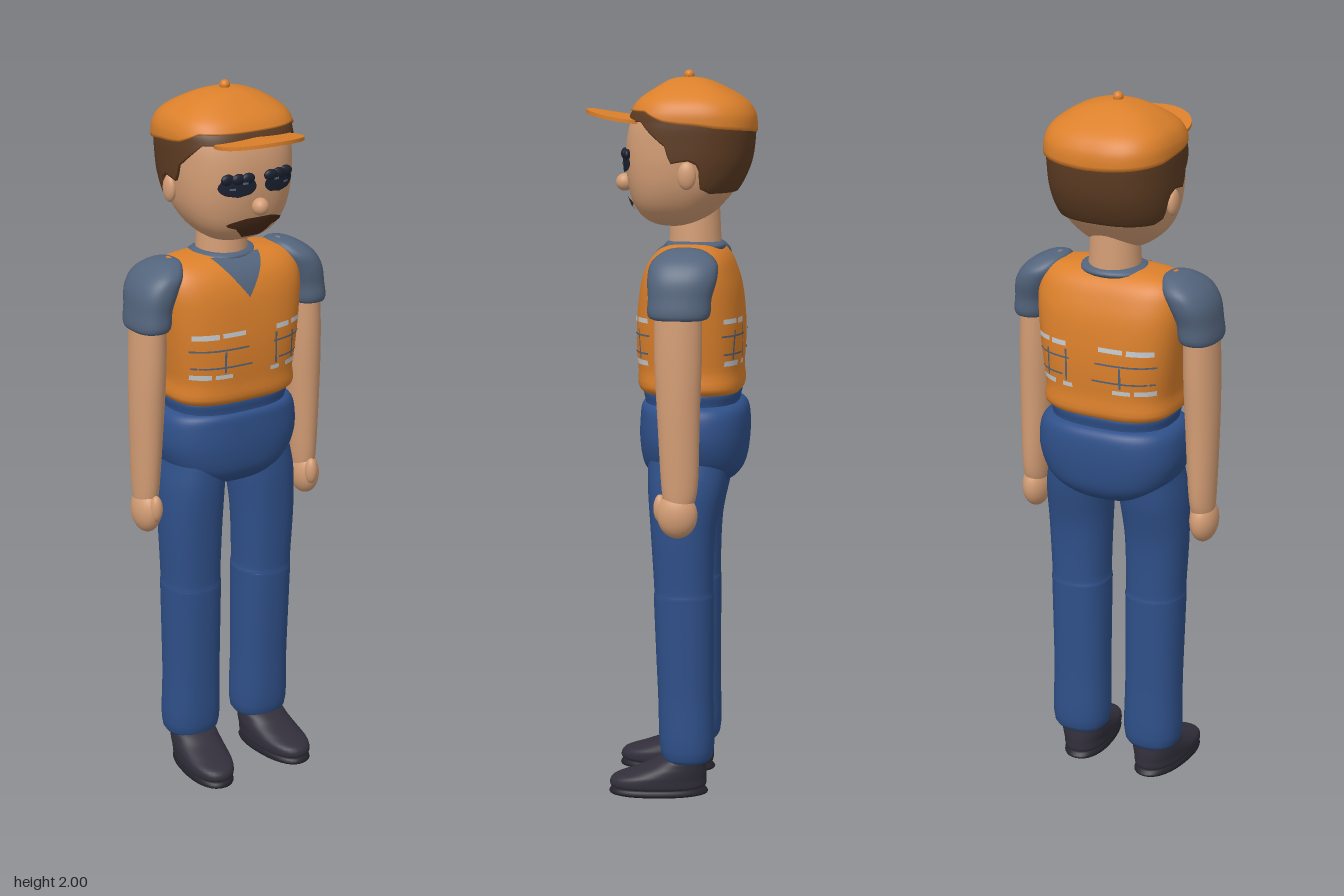
import * as THREE from 'three';

const mat = (name, color) => Object.assign(new THREE.MeshStandardMaterial({ color }), { name });

// Smooth stack of rounded cross-sections [y, centreX, halfWidth, zFront, zBack]
function surface(sections, n = 2) {
  const last = sections.length - 1;
  const curve = new THREE.CubicInterpolant(
    Float32Array.from(sections.keys()), Float32Array.from(sections.flat()), 5);
  const at = t => {
    const [y, cx, a, f, b] = curve.evaluate(t);
    return { y, cx, a: Math.max(a, 0.0005), zc: (f + b) / 2, b: Math.max((f - b) / 2, 0.0005) };
  };
  const tAt = y => {
    let lo = 0, hi = last;
    for (let i = 0; i < 24; i++) {
      const m = (lo + hi) / 2;
      if (at(m).y < y) lo = m; else hi = m;
    }
    return lo;
  };
  const bend = v => Math.sign(v) * Math.abs(v) ** (2 / n);
  const point = (th, t, off = 0) => {
    const s = at(t);
    return [s.cx + (s.a + off) * bend(Math.sin(th)), s.y, s.zc + (s.b + off) * bend(Math.cos(th))];
  };
  // depth of the surface at a given x and y, on the front (dir 1) or back (dir -1)
  const depth = (x, y, dir) => {
    const s = at(tAt(y));
    return s.zc + dir * s.b * Math.max(0, 1 - Math.abs((x - s.cx) / s.a) ** n) ** (1 / n);
  };
  return { last, tAt, point, depth };
}

function gridGeometry(cols, rows, wrap, fn, flip = false) {
  const pos = [], idx = [], stride = wrap ? cols : cols + 1;
  for (let j = 0; j <= rows; j++)
    for (let i = 0; i < stride; i++) pos.push(...fn(i / cols, j / rows, j));
  for (let j = 0; j < rows; j++)
    for (let i = 0; i < cols; i++) {
      const k = (i + 1) % stride;
      const a = j * stride + i, b = j * stride + k, c = b + stride, d = a + stride;
      if (flip) idx.push(a, c, b, a, d, c); else idx.push(a, b, c, a, c, d);
    }
  const g = new THREE.BufferGeometry();
  g.setAttribute('position', new THREE.Float32BufferAttribute(pos, 3));
  g.setIndex(idx);
  g.computeVertexNormals();
  return g;
}

// Closed skin; with a bottom edge rule it becomes a shell with a turned-in lip
function loft(s, bottom, off = 0, cols = 40) {
  return gridGeometry(bottom ? 120 : cols, s.last * 5, true, (u, v, j) => {
    const th = (u - 0.5) * Math.PI * 2;
    const t0 = bottom ? s.tAt(bottom(Math.abs(th))) : 0;
    const k = bottom ? Math.max(0, (j - 1) / (s.last * 5 - 1)) : v;
    return s.point(th, t0 + (s.last - t0) * k, bottom && j === 0 ? off - 0.01 : off);
  });
}

// Thin painted patch following a surface
function patch(s, y0, y1, left, right, dir = 1, off = 0.004, rows = 10, cols = 12) {
  return gridGeometry(cols, rows, false, (u, v) => {
    const y = y0 + (y1 - y0) * v, x = left(v) + (right(v) - left(v)) * u;
    return [x, y, s.depth(x, y, dir) + dir * off];
  }, dir < 0);
}

// Piecewise straight line through [x, y] points
const steps = pts => x => {
  const i = Math.max(1, pts.findIndex(p => p[0] >= x));
  const [p, q] = [pts[i - 1], pts[i]];
  return THREE.MathUtils.mapLinear(Math.min(x, q[0]), p[0], q[0], p[1], q[1]);
};

export function createModel() {
  const model = new THREE.Group();
  model.name = 'worker';
  const orange = mat('orange', 0xdb802b), skin = mat('skin', 0xd39d75), denim = mat('denim', 0x2f5089);
  const shirt = mat('shirt', 0x53647c), hair = mat('hair', 0x5c3b22), shoe = mat('shoe', 0x322f3b);
  const sole = mat('sole', 0x24222b), dark = mat('eyeDark', 0x1b2130), silver = mat('silver', 0xc6cbcf);
  const beard = mat('beard', 0x4a2b18);
  const add = (name, geo, material, parent = model) => {
    const m = new THREE.Mesh(geo, material);
    m.name = name;
    parent.add(m);
    return m;
  };
  const ball = (name, material, p, r, parent) => {
    const m = add(name, new THREE.SphereGeometry(1, 24, 16), material, parent);
    m.position.set(...p);
    m.scale.set(...r);
    return m;
  };

  // Torso in a vest, with shirt showing at the neck
  const torso = surface([
    [1.132, 0, 0.02, -0.05, -0.08], [1.132, 0, 0.176, 0.07, -0.195], [1.2, 0, 0.186, 0.084, -0.202],
    [1.3, 0, 0.2, 0.088, -0.206], [1.4, 0, 0.212, 0.08, -0.197], [1.46, 0, 0.214, 0.066, -0.18],
    [1.5, 0, 0.202, 0.043, -0.16], [1.525, 0, 0.165, 0.01, -0.13], [1.535, 0, 0.08, -0.03, -0.1],
    [1.537, 0, 0.01, -0.06, -0.07]], 3);
  add('vest', loft(torso, null, 0, 64), orange);
  add('shirtNeck', patch(torso, 1.43, 1.53, v => -0.075 * v, v => 0.075 * v, 1, 0.004, 20), shirt);
  ball('collar', shirt, [0, 1.525, -0.068], [0.1, 0.022, 0.085]);

  // Worn reflective dashes and seams, front and back: [x0, x1, y0, y1]
  const dashes = [[-0.17, -0.1, 1.328, 1.343], [-0.09, -0.02, 1.33, 1.343], [0.08, 0.125, 1.328, 1.342],
    [0.135, 0.18, 1.33, 1.343], [-0.17, -0.12, 1.213, 1.227], [-0.11, -0.06, 1.213, 1.225],
    [0.06, 0.09, 1.213, 1.225], [0.115, 0.165, 1.213, 1.227]];
  const seams = [[-0.175, -0.01, 1.293, 1.298], [0.07, 0.18, 1.293, 1.298], [-0.17, 0, 1.243, 1.248],
    [0.09, 0.17, 1.243, 1.248], [-0.085, -0.079, 1.23, 1.29], [0.076, 0.082, 1.23, 1.32],
    [0.138, 0.144, 1.23, 1.31]];
  for (const dir of [1, -1])
    for (const [list, name, material] of [[dashes, 'reflectiveDash', silver], [seams, 'vestSeam', shirt]])
      for (const [x0, x1, y0, y1] of list)
        add(name, patch(torso, y0, y1, () => x0, () => x1, dir, 0.003, 1, 5), material);

  // Trousers: waistband and hips
  add('waistband', loft(surface([[1.06, 0, 0.172, 0.064, -0.19], [1.1, 0, 0.174, 0.066, -0.192],
    [1.14, 0, 0.174, 0.066, -0.192], [1.16, 0, 0.1, 0, -0.12]], 2.6)), denim);
  add('hips', loft(surface([[0.868, 0, 0.01, -0.06, -0.08], [0.878, 0, 0.09, 0.02, -0.16],
    [0.92, 0, 0.17, 0.066, -0.205], [0.99, 0, 0.206, 0.08, -0.219], [1.06, 0, 0.207, 0.079, -0.219],
    [1.095, 0, 0.19, 0.072, -0.206], [1.106, 0, 0.15, 0.04, -0.17]], 2.6), null, 0, 56), denim);

  for (const s of [1, -1]) {
    const side = s > 0 ? 'left' : 'right';
    const place = rows => rows.map(([y, x, ...r]) => [y, x * s, ...r]);
    const part = (name, material, rows, n) => add(side + name, loft(surface(place(rows), n)), material);

    // Arm, sleeve and hand
    part('Sleeve', shirt, [[1.355, 0.25, 0.01, -0.04, -0.06], [1.355, 0.25, 0.05, 0.03, -0.125],
      [1.41, 0.244, 0.054, 0.035, -0.135], [1.46, 0.23, 0.06, 0.038, -0.148],
      [1.5, 0.208, 0.056, 0.03, -0.145], [1.528, 0.185, 0.035, -0.005, -0.11],
      [1.536, 0.175, 0.006, -0.045, -0.065]], 2.3);
    part('Arm', skin, [[0.83, 0.261, 0.028, -0.015, -0.08], [0.9, 0.259, 0.036, -0.002, -0.1],
      [1.1, 0.255, 0.045, 0.01, -0.105], [1.25, 0.251, 0.048, 0.018, -0.11], [1.4, 0.248, 0.046, 0.018, -0.11]]);
    ball(side + 'Hand', skin, [0.262 * s, 0.824, -0.045], [0.038, 0.064, 0.055]);
    ball(side + 'Thumb', skin, [0.256 * s, 0.84, 0.002], [0.018, 0.038, 0.018]);

    // Trouser leg with a slight knee fold
    part('Leg', denim, [[0.112, 0.115, 0.02, -0.04, -0.08], [0.112, 0.115, 0.078, 0.012, -0.13],
      [0.3, 0.115, 0.08, 0.023, -0.131], [0.54, 0.117, 0.083, 0.033, -0.132], [0.57, 0.117, 0.084, 0.033, -0.132],
      [0.6, 0.118, 0.082, 0.033, -0.13], [0.75, 0.119, 0.087, 0.042, -0.136],
      [0.87, 0.114, 0.09, 0.05, -0.16], [0.95, 0.105, 0.085, 0.05, -0.17]], 2.3);

    // Shoe, toe turned slightly outward
    const foot = new THREE.Group();
    foot.name = side + 'Foot';
    foot.position.set(0.115 * s, 0, -0.05);
    foot.rotation.y = 0.1 * s;
    model.add(foot);
    add('sole', loft(surface([[0, 0, 0.01, 0.1, 0.08], [0, 0, 0.06, 0.2, -0.055], [0.016, 0, 0.062, 0.204, -0.058],
      [0.022, 0, 0.05, 0.18, -0.04]], 2.3)), sole, foot);
    add('shoe', loft(surface([[0.018, 0, 0.05, 0.18, -0.04], [0.024, 0, 0.065, 0.206, -0.06],
      [0.048, 0, 0.068, 0.2, -0.062], [0.066, 0, 0.068, 0.15, -0.062], [0.085, 0, 0.066, 0.1, -0.06],
      [0.108, 0, 0.06, 0.06, -0.056], [0.118, 0, 0.03, 0.03, -0.03]], 2.3)), shoe, foot);

    // Ear
    ball(side + 'Ear', skin, [0.167 * s, 1.725, -0.06], [0.015, 0.037, 0.025]);
  }

  // Neck and head
  const neck = add('neck', new THREE.CylinderGeometry(0.066, 0.074, 0.16, 32), skin);
  neck.position.set(0, 1.57, -0.068);
  const head = surface([
    [1.578, 0, 0.005, -0.03, -0.04], [1.583, 0, 0.06, 0.035, -0.075], [1.605, 0, 0.1, 0.075, -0.11],
    [1.64, 0, 0.132, 0.099, -0.145], [1.69, 0, 0.155, 0.113, -0.185], [1.75, 0, 0.166, 0.12, -0.212],
    [1.81, 0, 0.169, 0.118, -0.222], [1.86, 0, 0.169, 0.107, -0.222], [1.9, 0, 0.16, 0.086, -0.208],
    [1.94, 0, 0.11, 0.03, -0.15], [1.955, 0, 0.01, -0.045, -0.06]], 2.5);
  add('head', loft(head, null, 0, 64), skin);
  ball('nose', skin, [0, 1.695, 0.127], [0.023, 0.024, 0.024]);

  // Hair with sideburns, longer at the back
  const hairLine = steps([[0, 1.868], [0.85, 1.865], [1.15, 1.83], [1.38, 1.8], [1.44, 1.755], [1.62, 1.765],
    [1.76, 1.75], [1.86, 1.69], [2.1, 1.676], [3.2, 1.676]]);
  add('hair', loft(head, hairLine, 0.008), hair);

  // Eyes: dark scalloped patches with small glints
  for (const s of [1, -1]) {
    const w = v => 0.056 * Math.sqrt(Math.max(0, 1 - (2 * v - 1) ** 2)) * (1 - 0.2 * v);
    add('eye', patch(head, 1.727, 1.788, v => 0.064 * s - w(v), v => 0.064 * s + w(v), 1, 0.008), dark);
    for (const x of [0.035, 0.062, 0.09])
      ball('lash', dark, [x * s, 1.776, head.depth(x, 1.776, 1) + 0.003], [0.02, 0.015, 0.01]);
    for (const [x, y] of [[0.048, 1.766], [0.082, 1.752]])
      add('glint', patch(head, y - 0.003, y + 0.003, () => x * s - 0.008, () => x * s + 0.008, 1, 0.0135, 1, 2), shirt);
  }

  // Moustache and goatee
  const moustache = v => 0.085 * Math.sin(Math.PI * (0.22 + 0.62 * v)) ** 1.2;
  add('moustache', patch(head, 1.632, 1.664, v => -moustache(v), v => moustache(v), 1, 0.009), beard);
  add('goatee', patch(head, 1.603, 1.634, v => -0.028 - 0.03 * v, v => 0.028 + 0.03 * v, 1, 0.006), beard);

  // Cap: crown, button and upturned peak
  const crown = surface([[1.8, 0, 0.179, 0.128, -0.233], [1.86, 0, 0.18, 0.117, -0.235], [1.895, 0, 0.175, 0.103, -0.225],
    [1.925, 0, 0.155, 0.08, -0.198], [1.958, 0, 0.105, 0.03, -0.14], [1.976, 0, 0.05, -0.005, -0.095],
    [1.982, 0, 0.002, -0.049, -0.051]], 2.7);
  add('capCrown', loft(crown, steps([[0, 1.893], [0.9, 1.893], [1.3, 1.868], [1.9, 1.85], [3.2, 1.835]])), orange);
  ball('capButton', orange, [0, 1.986, -0.05], [0.014, 0.014, 0.014]);
  const peak = new THREE.CylinderGeometry(1, 1, 0.01, 48, 1).scale(0.122, 1, 0.115).translate(0, 0, 0.116);
  const p = peak.attributes.position;
  for (let i = 0; i < p.count; i++)
    p.setY(i, p.getY(i) + 1.86 + 0.13 * p.getZ(i) - 0.5 * p.getX(i) ** 2);
  peak.computeVertexNormals();
  add('capPeak', peak, orange);

  return model;
}
